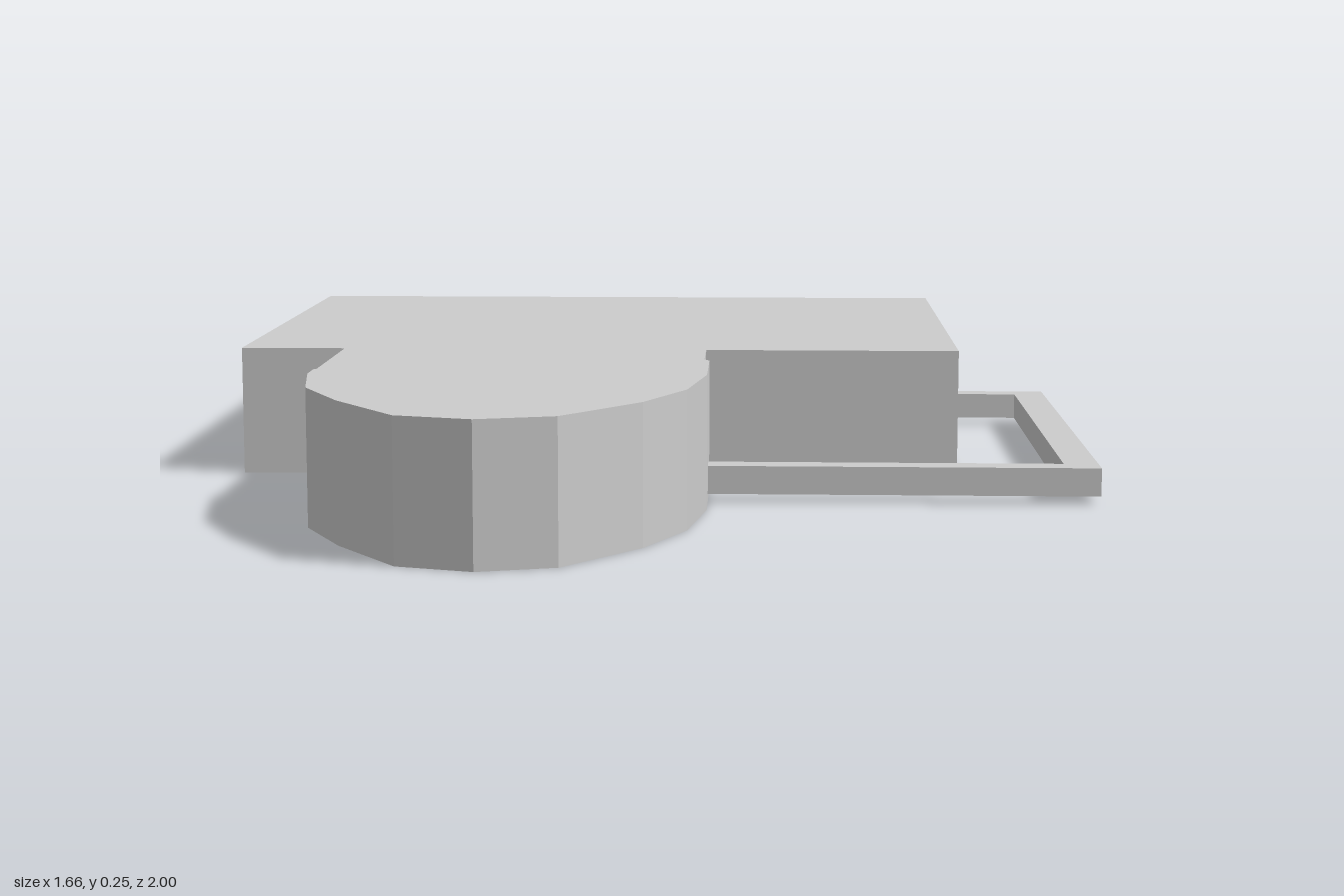
import * as THREE from 'three';

const HEIGHT = 0.25;
const WALL = 0.006;

export function createModel() {
  const model = new THREE.Group();
  const material = new THREE.MeshStandardMaterial({
    color: 0xcccccc, flatShading: true, side: THREE.DoubleSide,
  });

  const add = (name, geometry, parent = model) => {
    const mesh = new THREE.Mesh(geometry, material);
    mesh.name = name;
    parent.add(mesh);
    return mesh;
  };

  // Box given by its lower and upper corners
  const box = (name, [x0, y0, z0], [x1, y1, z1], parent) =>
    add(name, new THREE.BoxGeometry(x1 - x0, y1 - y0, z1 - z0), parent)
      .position.set((x0 + x1) / 2, (y0 + y1) / 2, (z0 + z1) / 2);

  // Plan outline of [x, z] points, raised from y0 to y1
  const slab = (name, outline, y0, y1) => {
    const shape = new THREE.Shape(outline.map(([x, z]) => new THREE.Vector2(x, -z)));
    const geometry = new THREE.ExtrudeGeometry(shape, { depth: y1 - y0, bevelEnabled: false });
    geometry.rotateX(-Math.PI / 2).translate(0, y0, 0);
    return add(name, geometry);
  };

  // Hollow main body
  const body = new THREE.Group();
  body.name = 'mainBody';
  model.add(body);
  const x0 = -0.83, x1 = 0.585, z0 = -1, z1 = 0.05;
  const low = WALL, high = HEIGHT - WALL;
  box('floor', [x0, 0, z0], [x1, low, z1], body);
  box('roof', [x0, high, z0], [x1, HEIGHT, z1], body);
  box('backWall', [x0 + WALL, low, z0], [x1, high, z0 + WALL], body);
  box('frontWall', [x0 + WALL, low, z1 - WALL], [x1, high, z1], body);
  box('leftWall', [x1 - WALL, low, z0 + WALL], [x1, high, z1 - WALL], body);

  // Right wall with the round opening near the back
  const side = new THREE.Shape([[z0, low], [z1, low], [z1, high], [z0, high]]
    .map(([z, y]) => new THREE.Vector2(z, y)));
  const opening = new THREE.Path();
  opening.absarc(-0.775, 0.078, 0.07, 0, Math.PI * 2, true);
  side.holes.push(opening);
  const sideGeometry = new THREE.ExtrudeGeometry(side, {
    depth: WALL, bevelEnabled: false, curveSegments: 10,
  });
  sideGeometry.rotateY(-Math.PI / 2).translate(x0 + WALL, 0, 0);
  add('rightWall', sideGeometry, body);

  // Rounded front extension
  slab('frontExtension', [
    [-0.625, 0.05], [-0.625, 0.37], [-0.63, 0.38], [-0.63, 0.44], [-0.6, 0.63],
    [-0.52, 0.79], [-0.4, 0.96], [-0.265, 1], [-0.13, 0.96], [0, 0.79],
    [0.07, 0.63], [0.1, 0.43], [0.1, 0.22], [0.09, 0.2], [0.09, 0.05],
  ], 0, HEIGHT);

  // Low side rail joining the body to the extension
  slab('sideRail', [
    [0.585, -0.71], [0.83, -0.71], [0.83, 0.345], [0.09, 0.345],
    [0.09, 0.295], [0.765, 0.295], [0.765, -0.66], [0.585, -0.66],
  ], 0.015, 0.068);

  return model;
}
